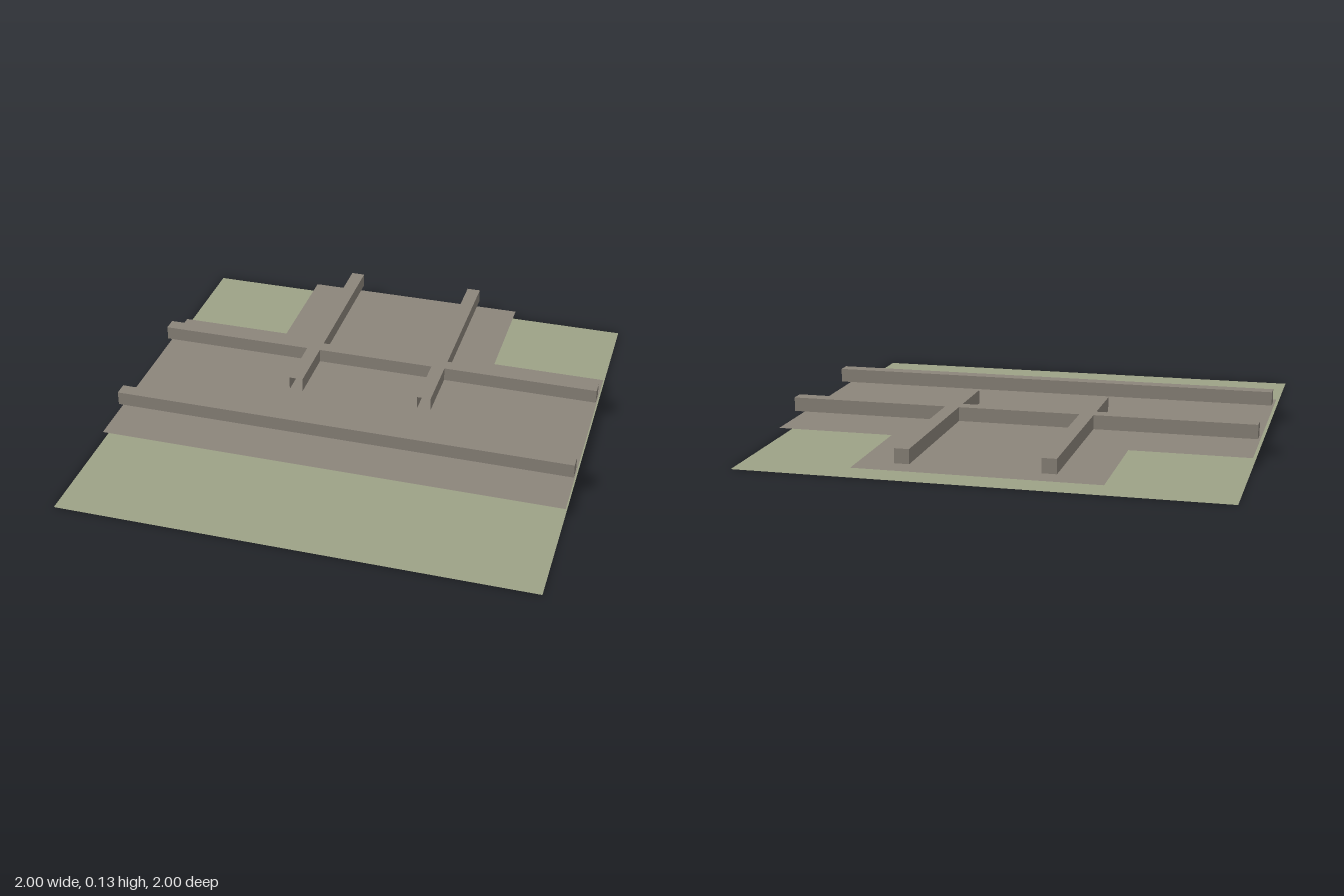
import * as THREE from 'three';

export function createModel() {
  const model = new THREE.Group();
  const grass = new THREE.MeshStandardMaterial({ color: 0x9da286, side: THREE.DoubleSide });
  const stone = new THREE.MeshStandardMaterial({ color: 0x8c857b, side: THREE.DoubleSide });
  grass.name = 'mossGreen';
  stone.name = 'warmGrey';

  function add(name, geometry, material, parent = model) {
    const mesh = new THREE.Mesh(geometry, material);
    mesh.name = name;
    parent.add(mesh);
    return mesh;
  }

  // Flat sheet between two x and two z limits
  function sheet(name, x0, x1, z0, z1, y, material, parent) {
    const geometry = new THREE.PlaneGeometry(x1 - x0, z1 - z0).rotateX(-Math.PI / 2);
    geometry.translate((x0 + x1) / 2, y, (z0 + z1) / 2);
    return add(name, geometry, material, parent);
  }

  // Ground tile
  sheet('ground', -1, 1, -1, 1, 0, grass);

  // T-shaped track bed (shape y becomes -z)
  const bed = new THREE.Shape([
    [-1, -0.5], [1, -0.5], [1, 0.5], [0.5, 0.5],
    [0.5, 1], [-0.5, 1], [-0.5, 0.5], [-1, 0.5],
  ].map(([x, y]) => new THREE.Vector2(x, y)));
  add('trackBed', new THREE.ShapeGeometry(bed).rotateX(-Math.PI / 2).translate(0, 0.04, 0), stone);

  // Sleepers of the through track
  const sleepers = new THREE.Group();
  sleepers.name = 'sleepers';
  model.add(sleepers);
  const half = 0.068, level = 0.05;
  for (let i = 0; i < 6; i++) {
    const x = -0.8 + i * 0.32;
    sheet('mainSleeper', x - half, x + half, -0.43, 0.43, level, stone, sleepers);
  }

  // Sleepers of the branch, filling only the gaps where they cross the others
  sheet('branchSleeper', -0.43, 0.43, -0.8 - half, -0.8 + half, level, stone, sleepers);
  sheet('branchSleeper', -0.43, 0.43, -0.48 - half, -0.43, level, stone, sleepers);
  for (const x of [-0.32, 0, 0.32]) {
    const gap = 0.16 - half;
    sheet('branchSleeper', x - gap, x + gap, -0.43, -0.48 + half, level, stone, sleepers);
    sheet('branchSleeper', x - gap, x + gap, -0.16 - half, -0.16 + half, level, stone, sleepers);
  }

  // Rails: two across the tile, two branching to the back with open inner ends
  for (const side of [-1, 1]) {
    add('mainRail', new THREE.BoxGeometry(2, 0.06, 0.06), stone).position.set(0, 0.1, side * 0.29);

    const branch = new THREE.BoxGeometry(0.06, 0.06, 1);
    const index = Array.from(branch.index.array);
    index.splice(24, 6); // drop the +z end
    branch.setIndex(index);
    add('branchRail', branch, stone).position.set(side * 0.29, 0.1, -0.5);
  }

  return model;
}
